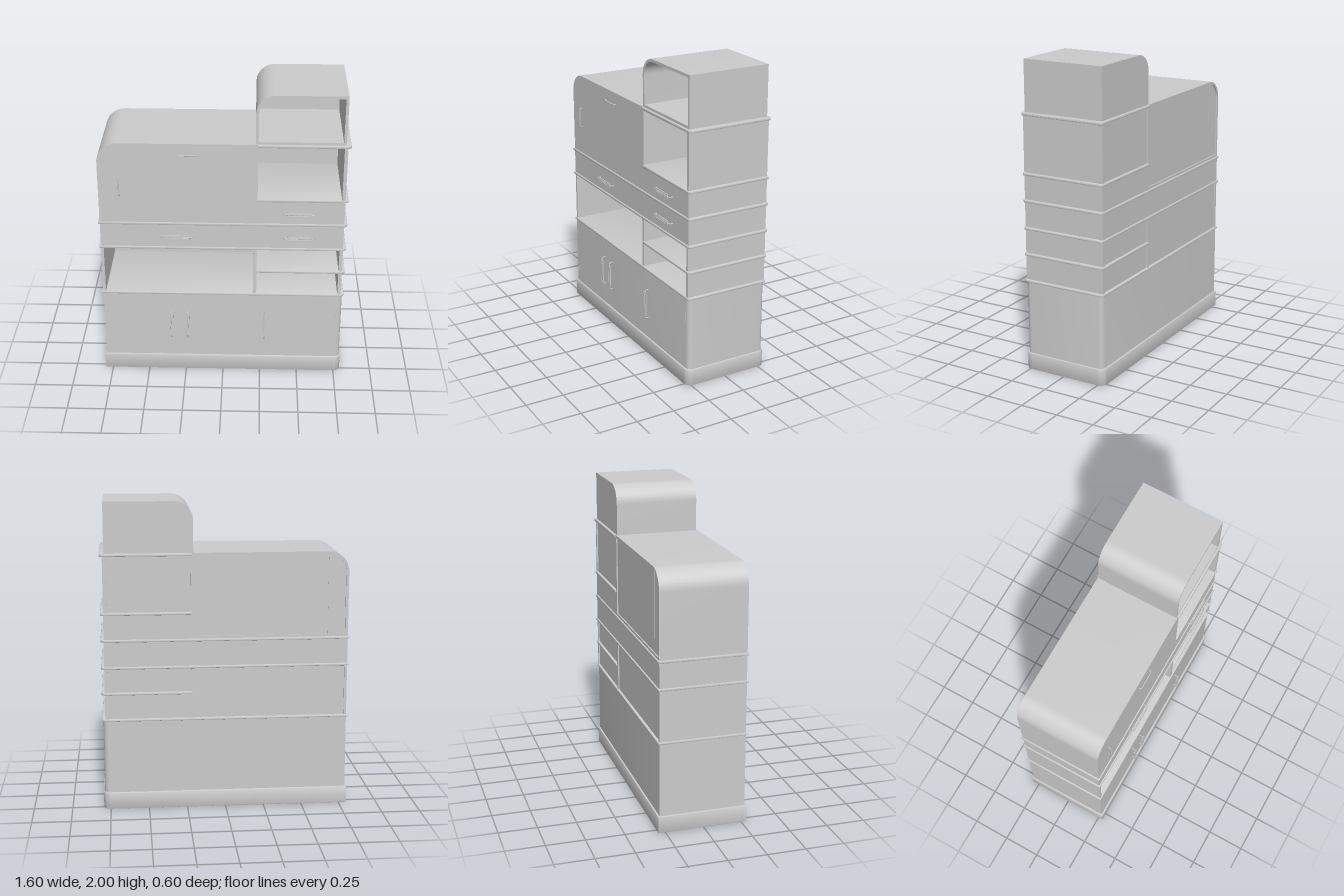
import * as THREE from 'three';
import { toCreasedNormals } from 'three/addons/utils/BufferGeometryUtils.js';

const BACK = -0.287, FRONT = 0.272;

export function createModel() {
  const root = new THREE.Group();
  const mat = new THREE.MeshStandardMaterial({ color: 0xcccccc });

  const add = (name, geo, parent = root) => {
    const mesh = new THREE.Mesh(geo, mat);
    mesh.name = name;
    parent.add(mesh);
    return mesh;
  };

  // Plain box given by its limits
  const box = (name, x0, x1, y0, y1, z0 = BACK, z1 = FRONT) => {
    const m = add(name, new THREE.BoxGeometry(x1 - x0, y1 - y0, z1 - z0));
    m.position.set((x0 + x1) / 2, (y0 + y1) / 2, (z0 + z1) / 2);
    return m;
  };

  // Horizontal board with rounded corners on the +x end and softened edges
  const board = (name, x0, x1, y0, y1, z0, z1, r, b = 0.004) => {
    const s = new THREE.Shape();
    const [l, w, f, k] = [x0 + b, x1 - b, -z1 + b, -z0 - b];
    s.moveTo(l, f);
    s.lineTo(w - r, f);
    s.absarc(w - r, f + r, r, -Math.PI / 2, 0, false);
    s.lineTo(w, k - r);
    s.absarc(w - r, k - r, r, 0, Math.PI / 2, false);
    s.lineTo(l, k);
    s.closePath();
    const g = new THREE.ExtrudeGeometry(s, {
      depth: y1 - y0 - 2 * b, bevelEnabled: b > 0, bevelSize: b, bevelThickness: b,
      bevelSegments: 2, curveSegments: 8,
    });
    g.rotateX(-Math.PI / 2);
    g.translate(0, y0 + b, 0);
    return add(name, toCreasedNormals(g, 0.7));
  };

  // Outline with the upper -x corner rounded
  const roundedOutline = (P, x0, x1, y0, y1, r) => {
    const p = new P();
    p.moveTo(x0, y0);
    p.lineTo(x1, y0);
    p.lineTo(x1, y1);
    p.lineTo(x0 + r, y1);
    p.absarc(x0 + r, y1 - r, r, Math.PI / 2, Math.PI, false);
    p.closePath();
    return p;
  };
  const extrudeZ = (name, shape, z0, z1) => {
    const g = new THREE.ExtrudeGeometry(shape, { depth: z1 - z0, bevelEnabled: false, curveSegments: 16 });
    g.translate(0, 0, z0);
    return add(name, toCreasedNormals(g, 0.6));
  };
  // Curved-corner cabinet: hollow shell plus recessed back
  const curvedCabinet = (name, x0, x1, y0, y1, r, t, z0, z1, recess) => {
    const shell = roundedOutline(THREE.Shape, x0, x1, y0, y1, r);
    shell.holes.push(roundedOutline(THREE.Path, x0 + t, x1 - t, y0 + t, y1 - t, r - t));
    extrudeZ(name + 'Shell', shell, z0, z1);
    extrudeZ(name + 'Back', roundedOutline(THREE.Shape, x0 + t / 2, x1 - t / 2, y0 + t / 2, y1 - t / 2, r - t / 2),
      z0 + recess, z0 + recess + 0.012);
  };

  // Plinth and lower cupboard
  board('plinth', -0.8, 0.795, 0, 0.112, -0.298, 0.283, 0.04, 0.006);
  board('lowerCupboard', -0.79, 0.787, 0.11, 0.595, BACK, FRONT, 0.035, 0);

  // Shelf boards that project past the body
  const slabs = [
    ['lowerTop', -0.8, 0.59, 0.605], ['drawerBottom', -0.8, 0.934, 0.95], ['drawerTop', -0.8, 1.11, 1.127],
    ['smallShelf', 0.215, 0.764, 0.78], ['nicheBottom', 0.215, 1.283, 1.3], ['nicheTop', 0.215, 1.658, 1.676],
  ];
  for (const [name, x0, y0, y1] of slabs) board(name, x0, 0.795, y0, y1, -0.296, 0.28, 0.02);

  // Open middle bay
  box('bayLeftWall', -0.79, -0.773, 0.603, 0.936);
  box('bayDivider', 0.197, 0.22, 0.603, 0.936);
  box('bayRightWall', 0.753, 0.775, 0.603, 0.936);
  box('bayBack', -0.775, 0.76, 0.603, 0.936, BACK + 0.008, BACK + 0.02);

  // Drawer row and the small drawer above it
  box('wideDrawer', -0.79, 0.2, 0.948, 1.112);
  box('narrowDrawer', 0.2, 0.775, 0.948, 1.112);
  box('upperDrawer', 0.22, 0.775, 1.125, 1.285);

  // Upper cupboard with a curved shoulder and a flush door
  curvedCabinet('upperCupboard', -0.79, 0.22, 1.125, 1.676, 0.13, 0.018, BACK, FRONT - 0.015, 0.008);
  extrudeZ('upperDoor', roundedOutline(THREE.Shape, -0.79, 0.22, 1.125, 1.676, 0.13), FRONT - 0.015, FRONT);
  box('upperBackStile', -0.665, -0.66, 1.143, 1.66, BACK + 0.006, BACK + 0.012);

  // Open niche beside the cupboard
  box('nicheRightWall', 0.753, 0.775, 1.298, 1.66);
  box('nicheBack', 0.215, 0.76, 1.298, 1.66, BACK + 0.008, BACK + 0.02);

  // Open top box with a curved corner
  curvedCabinet('topBox', 0.203, 0.765, 1.674, 2, 0.12, 0.018, -0.28, 0.265, 0);

  // Bent-rod pull, built along x
  const pull = (name, x, y, length, reach, vertical, plate) => {
    const g = new THREE.Group();
    g.name = name;
    const h = length / 2, c = 0.008, path = new THREE.CurvePath();
    const pts = [[-h, -0.004], [-h, reach - c], [-h + c, reach], [h - c, reach], [h, reach - c], [h, -0.004]]
      .map(([a, b]) => new THREE.Vector3(a, 0, b));
    for (let i = 0; i < 5; i++) path.add(new THREE.LineCurve3(pts[i], pts[i + 1]));
    add('rod', new THREE.TubeGeometry(path, 48, 0.004, 8, false), g);
    if (plate) {
      // Ribbed grip
      for (const k of [-1, 0, 1]) {
        const rib = add('gripRib', new THREE.BoxGeometry(length * 0.77, 0.008, 0.006), g);
        rib.position.set(0, k * 0.011, reach);
      }
      for (const k of [-1, 1]) {
        const tie = add('gripTie', new THREE.BoxGeometry(0.008, 0.03, 0.004), g);
        tie.position.set(k * length * 0.36, 0, reach);
      }
    }
    if (vertical) g.rotation.z = Math.PI / 2;
    g.position.set(x, y, FRONT);
    root.add(g);
  };
  for (const x of [-0.345, -0.235, 0.275]) pull('doorPull', x, 0.36, 0.2, 0.025, true, true);
  for (const [x, y] of [[-0.292, 1.03], [0.49, 1.03], [0.49, 1.203]]) pull('drawerPull', x, y, 0.2, 0.025, false, true);
  pull('upperSidePull', -0.657, 1.385, 0.13, 0.018, true, false);
  pull('upperTopPull', -0.217, 1.602, 0.13, 0.016, false, false);

  // Hinge plates
  for (const [x, y] of [[-0.775, 0.23], [-0.775, 0.46], [0.75, 0.23], [0.75, 0.46], [-0.775, 1.21], [-0.775, 1.44]]) {
    box('hinge', x - 0.002, x + 0.002, y - 0.035, y + 0.035, FRONT - 0.004, FRONT + 0.001);
  }
  return root;
}
